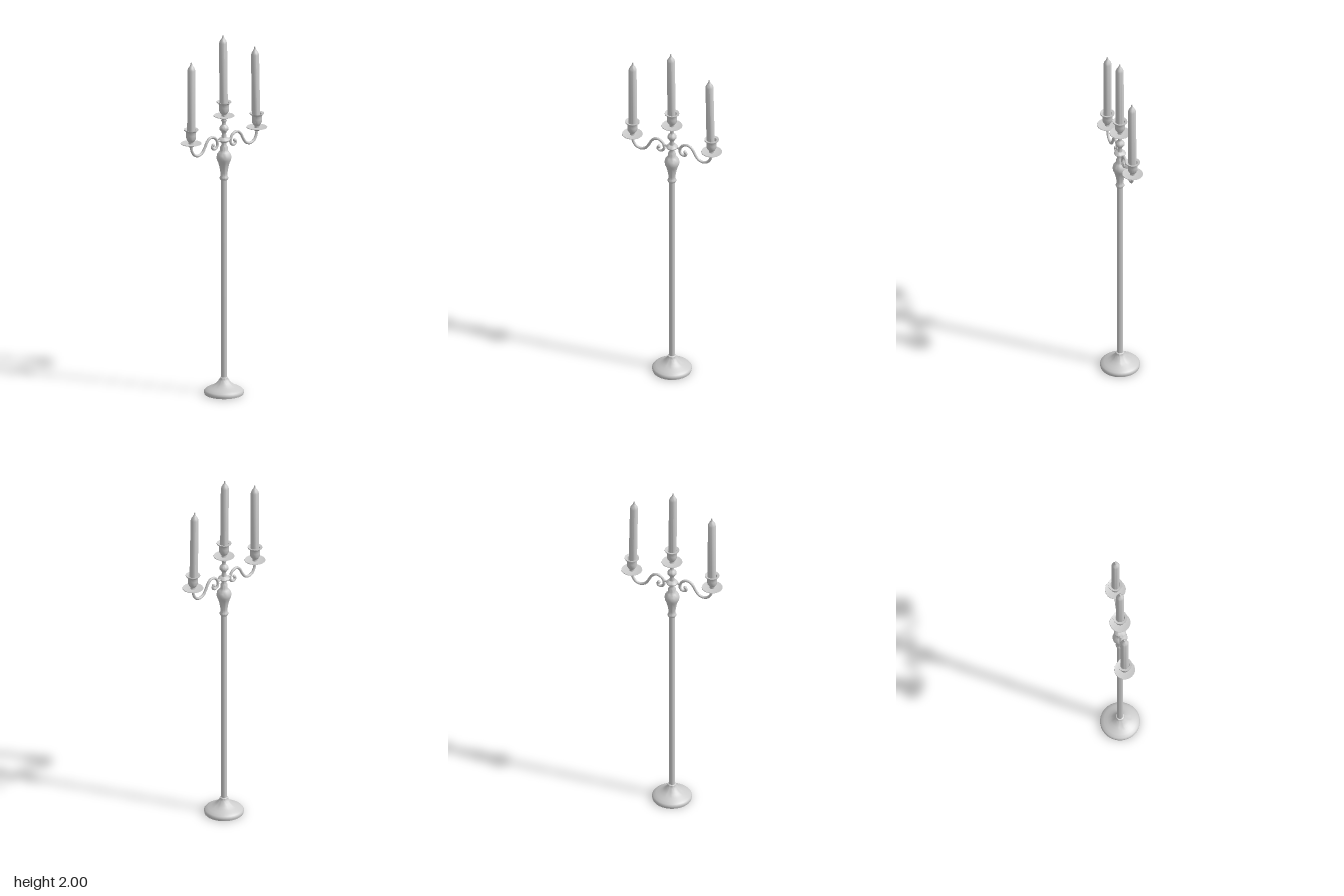
import * as THREE from 'three';
import { toCreasedNormals } from 'three/addons/utils/BufferGeometryUtils.js';

const metal = new THREE.MeshStandardMaterial({ color: 0xcccccc });

// Turned part: profile runs from the bottom up as [radius, height] pairs
function turned(name, profile, sides = 20) {
  const points = profile.map(([r, y]) => new THREE.Vector2(r, y));
  const geometry = toCreasedNormals(new THREE.LatheGeometry(points, sides), 0.75);
  const mesh = new THREE.Mesh(geometry, metal);
  mesh.name = name;
  return mesh;
}

// Drip dish, hollow cup and candle; y = 0 is the dish level
function candleHolder(name, x, y, candleX, lean) {
  const holder = new THREE.Group();
  holder.name = name;
  holder.position.set(x, y, 0);

  holder.add(turned('dripDish', [
    [0, -0.018], [0.012, -0.016], [0.02, -0.007], [0.04, -0.003], [0.056, 0.003],
    [0.055, 0.006], [0.035, 0.002], [0, 0.001],
  ]));
  holder.add(turned('candleCup', [
    [0.014, 0], [0.013, 0.01], [0.019, 0.018], [0.026, 0.03], [0.027, 0.05], [0.027, 0.065],
    [0.031, 0.073], [0.039, 0.078], [0.039, 0.083], [0.026, 0.079], [0.023, 0.07], [0.023, 0.03], [0, 0.03],
  ], 16));

  const candle = turned('candle', [
    [0, 0], [0.0225, 0], [0.0215, 0.378], [0.018, 0.39], [0.008, 0.405],
    [0.0045, 0.413], [0.0035, 0.423], [0, 0.425],
  ], 14);
  candle.position.set(candleX, 0.031, 0);
  candle.rotation.z = lean;
  holder.add(candle);
  return holder;
}

// S-shaped arm ending in a scroll beside the stem
function scrollArm(name, side) {
  const arm = new THREE.Group();
  arm.name = name;
  const path = [
    [0.228, 1.425], [0.222, 1.393], [0.204, 1.368], [0.178, 1.36], [0.152, 1.37],
    [0.133, 1.395], [0.118, 1.423], [0.1, 1.44], [0.08, 1.443], [0.06, 1.433],
    [0.047, 1.412], [0.046, 1.39], [0.058, 1.376], [0.074, 1.376], [0.082, 1.388], [0.075, 1.397],
  ].map(([x, y]) => new THREE.Vector3(side * x, y, 0));
  const tube = new THREE.Mesh(
    new THREE.TubeGeometry(new THREE.CatmullRomCurve3(path), 64, 0.0075, 10), metal);
  tube.name = 'scroll';
  arm.add(tube);

  // Rounded scroll tip
  const tip = new THREE.Mesh(new THREE.SphereGeometry(0.0095, 12, 8), metal);
  tip.name = 'scrollTip';
  tip.position.copy(path[path.length - 1]);
  arm.add(tip);

  // Pin joining the arm to the stem
  const pin = new THREE.Mesh(new THREE.CylinderGeometry(0.006, 0.006, 0.035, 8), metal);
  pin.name = 'armPin';
  pin.rotation.z = Math.PI / 2;
  pin.position.set(side * 0.035, 1.413, 0);
  arm.add(pin);
  return arm;
}

export function createModel() {
  const model = new THREE.Group();
  model.name = 'candelabra';

  model.add(turned('base', [
    [0, 0], [0.104, 0], [0.106, 0.008], [0.106, 0.017], [0.1, 0.024], [0.085, 0.033],
    [0.068, 0.041], [0.051, 0.051], [0.037, 0.063], [0.028, 0.076], [0.023, 0.083],
    [0.022, 0.09], [0.016, 0.094], [0, 0.094],
  ], 32));

  model.add(turned('pole', [[0.0165, 0.08], [0.0165, 1.2]], 16));

  // Collar, vase and knob above the pole
  model.add(turned('stem', [
    [0, 1.192], [0.019, 1.192], [0.023, 1.198], [0.023, 1.206], [0.018, 1.213],
    [0.019, 1.23], [0.024, 1.262], [0.031, 1.288], [0.038, 1.303], [0.04, 1.317],
    [0.037, 1.333], [0.027, 1.347], [0.02, 1.356], [0.02, 1.375], [0.014, 1.385],
    [0.015, 1.4], [0.03, 1.408], [0.032, 1.414], [0.028, 1.42], [0.014, 1.428],
    [0.011, 1.448], [0.015, 1.46], [0.024, 1.47], [0.025, 1.478], [0.021, 1.488],
    [0.011, 1.498], [0.01, 1.513], [0.015, 1.52], [0.014, 1.53], [0, 1.535],
  ]));

  model.add(scrollArm('leftArm', 1), scrollArm('rightArm', -1));
  model.add(candleHolder('centreHolder', 0, 1.544, -0.002, 0.011));
  model.add(candleHolder('leftHolder', 0.228, 1.435, -0.005, 0.02));
  model.add(candleHolder('rightHolder', -0.228, 1.435, 0.002, 0));
  return model;
}
